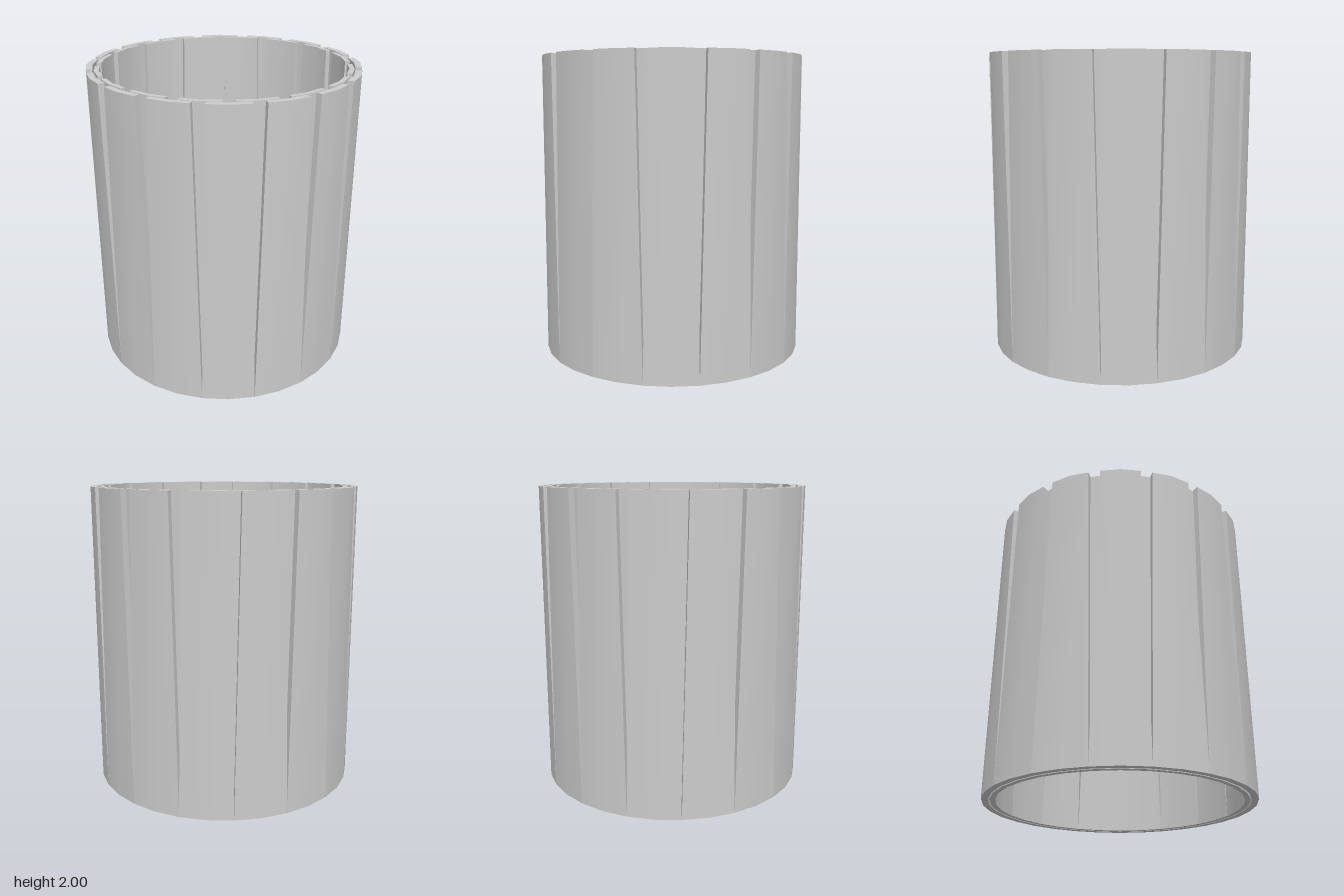
import * as THREE from 'three';
import { toCreasedNormals } from 'three/addons/utils/BufferGeometryUtils.js';

const COUNT = 16;
const STEP = (Math.PI * 2) / COUNT;
const HEIGHT = 2;
const TOP_WIDTH = 0.77; // staves narrow towards the top, opening tapered slits

// One curved stave: a box bent around the ring and narrowed at its top
function staveGeometry(outerR, innerR) {
  const geo = new THREE.BoxGeometry(2, HEIGHT, 1, 2, 1, 1);
  const p = geo.attributes.position;
  for (let i = 0; i < p.count; i++) {
    const angle = p.getX(i) * STEP / 2;
    const r = p.getZ(i) > 0 ? outerR : innerR;
    const taper = p.getY(i) > 0 ? TOP_WIDTH : 1;
    p.setXYZ(i, r * Math.sin(angle) * taper, p.getY(i) + HEIGHT / 2, r * Math.cos(angle));
  }
  return toCreasedNormals(geo, Math.PI / 6);
}

// A full ring of staves
function staveRing(name, outerR, innerR, offset, material) {
  const ring = new THREE.Group();
  ring.name = name;
  const geo = staveGeometry(outerR, innerR);
  for (let i = 0; i < COUNT; i++) {
    const stave = new THREE.Mesh(geo, material);
    stave.name = name + 'Stave';
    stave.rotation.y = offset + i * STEP;
    ring.add(stave);
  }
  return ring;
}

export function createModel() {
  const model = new THREE.Group();
  model.name = 'staveCylinder';
  const material = new THREE.MeshStandardMaterial({ color: 0xcccccc });
  // Inner ring is turned half a step so its staves cover the outer slits
  model.add(staveRing('outerRing', 0.886, 0.844, STEP / 2, material));
  model.add(staveRing('innerRing', 0.832, 0.8, 0, material));
  return model;
}
